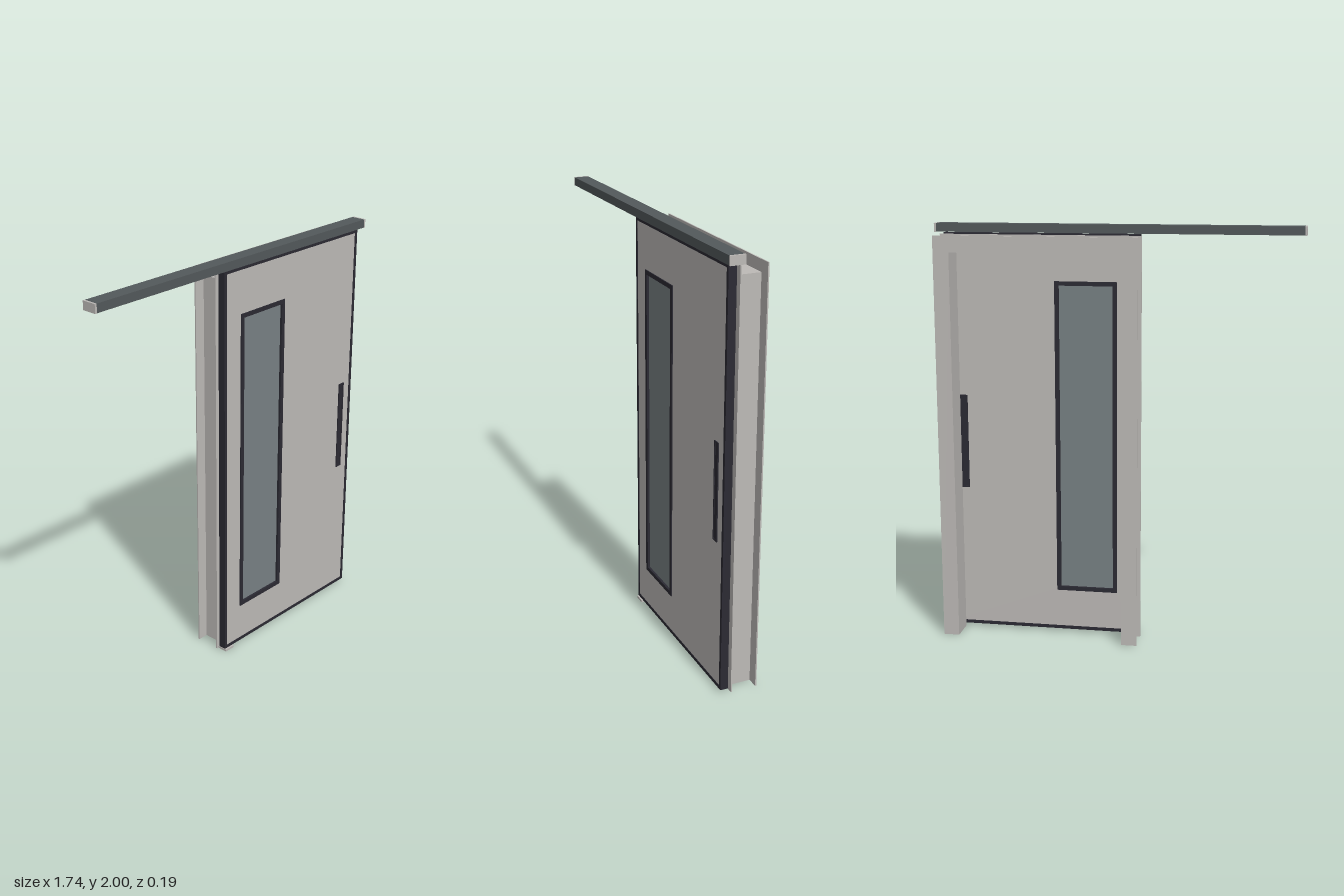
import * as THREE from 'three';

const mat = (name, color) => Object.assign(new THREE.MeshStandardMaterial({ color }), { name });

export function createModel() {
  const group = new THREE.Group();
  const panelGrey = mat('panel grey', 0xbdbab7);
  const dark = mat('dark trim', 0x2b2a33);
  const steel = mat('track steel', 0x53595b);
  const glassMat = mat('smoky glass', 0x788184);

  const add = (name, geometry, material) => {
    const mesh = new THREE.Mesh(geometry, material);
    mesh.name = name;
    group.add(mesh);
  };
  // box from its limits on each axis
  const box = (name, material, x0, x1, y0, y1, z0, z1) => {
    const g = new THREE.BoxGeometry(x1 - x0, y1 - y0, z1 - z0);
    g.translate((x0 + x1) / 2, (y0 + y1) / 2, (z0 + z1) / 2);
    add(name, g, material);
  };
  const rect = (path, x0, x1, y0, y1) =>
    path.moveTo(x0, y0).lineTo(x1, y0).lineTo(x1, y1).lineTo(x0, y1).closePath();
  const extrude = (name, material, shape, z0, z1) => {
    const g = new THREE.ExtrudeGeometry(shape, { depth: z1 - z0, bevelEnabled: false });
    add(name, g.translate(0, 0, z0), material);
  };
  // rectangular ring with border width w
  const ring = (name, material, x0, x1, y0, y1, w, z0, z1) => {
    const s = new THREE.Shape();
    rect(s, x0, x1, y0, y1);
    const hole = new THREE.Path();
    rect(hole, x0 + w, x1 - w, y0 + w, y1 - w);
    s.holes.push(hole);
    extrude(name, material, s, z0, z1);
  };
  // three-sided doorway surround, open at the floor
  const portal = (name, x0, x1, top, w, z0, z1) => {
    const s = new THREE.Shape([
      [x0, 0], [x0 + w, 0], [x0 + w, top - w], [x1 - w, top - w],
      [x1 - w, 0], [x1, 0], [x1, top], [x0, top],
    ].map(([x, y]) => new THREE.Vector2(x, y)));
    extrude(name, panelGrey, s, z0, z1);
  };

  // overhead sliding track with end caps
  box('track', steel, -0.858, 0.858, 1.96, 2, 0.024, 0.094);
  for (const s of [-1, 1]) {
    const a = s * 0.858, b = s * 0.868;
    box('trackEndCap', panelGrey, Math.min(a, b), Math.max(a, b), 1.959, 2, 0.023, 0.094);
  }

  // doorway frame: lining between two flat casings
  portal('frameLining', -0.066, 0.788, 1.897, 0.022, -0.088, 0.028);
  portal('backCasing', -0.118, 0.842, 1.95, 0.076, -0.094, -0.088);
  portal('frontCasing', -0.118, 0.842, 1.95, 0.076, 0.028, 0.034);

  // door leaf with dark edging, opened for the window
  const leaf = new THREE.Shape();
  rect(leaf, -0.092, 0.812, 0.028, 1.94);
  const opening = new THREE.Path();
  rect(opening, 0.01, 0.288, 0.225, 1.725);
  leaf.holes.push(opening);
  extrude('doorLeaf', panelGrey, leaf, 0.044, 0.077);
  ring('doorEdging', dark, -0.108, 0.828, 0.013, 1.956, 0.016, 0.042, 0.079);

  // window
  ring('windowTrim', dark, 0, 0.298, 0.215, 1.735, 0.02, 0.039, 0.082);
  box('windowGlass', glassMat, 0.015, 0.283, 0.23, 1.72, 0.05, 0.071);

  // recessed pulls on both faces
  for (const [z0, z1, zi0, zi1] of [[0.075, 0.082, 0.075, 0.079], [0.039, 0.046, 0.042, 0.046]]) {
    ring('pullRim', dark, 0.732, 0.768, 0.72, 1.18, 0.006, z0, z1);
    box('pullPlate', dark, 0.737, 0.763, 0.725, 1.175, zi0, zi1);
  }

  // floor guide under the trailing edge
  box('floorGuide', panelGrey, -0.108, -0.052, 0, 0.011, 0.034, 0.086);

  return group;
}
